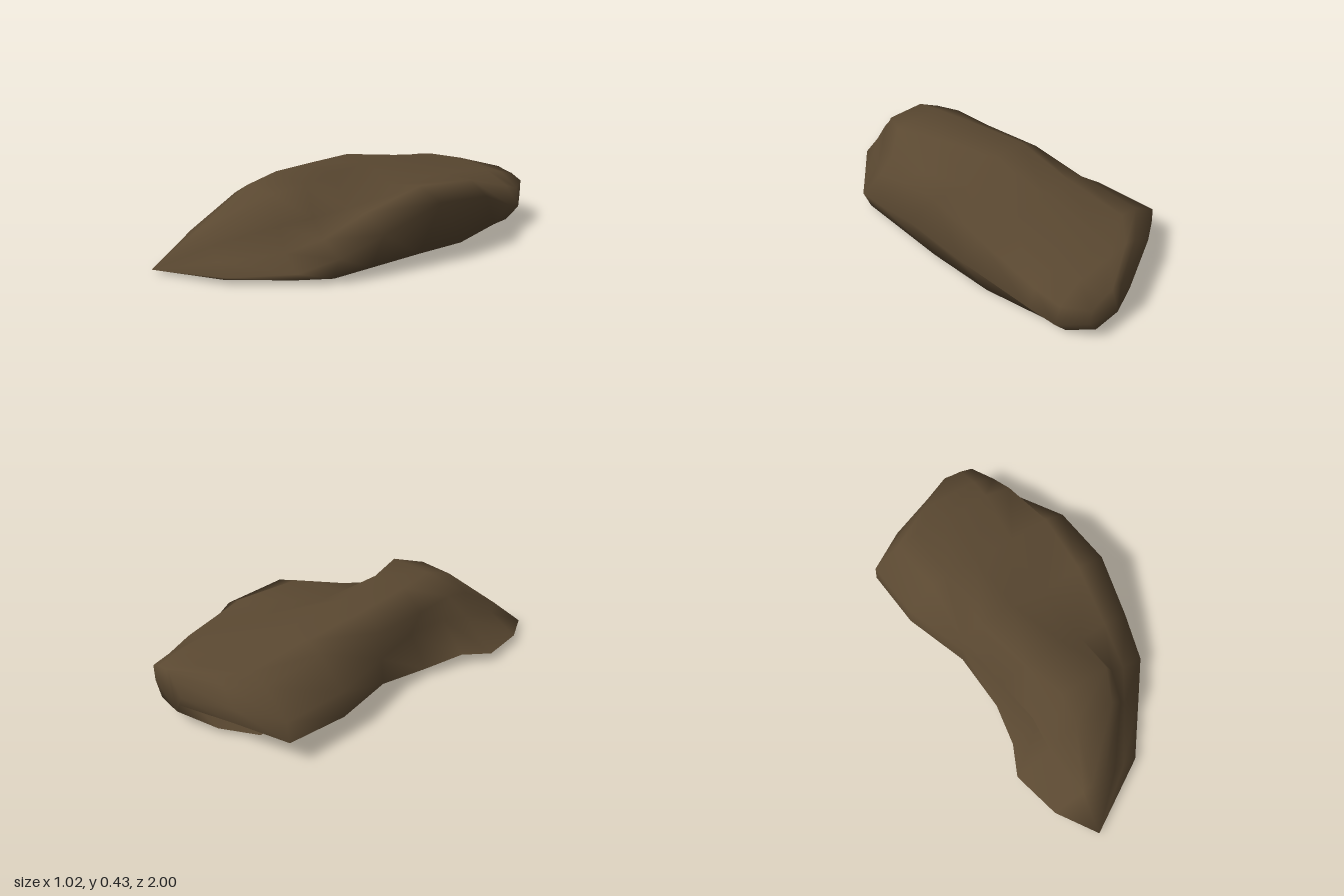
import * as THREE from 'three';

// z, x of the left foot, then [x, y] of: left bulge, left shoulder, valley,
// ridge, cliff top, right skirt edge.
const sections = [
  [-0.995, 0.2, [0.25, 0.15], [0.25, 0.23], [0.18, 0.26], [0.12, 0.27], [0.06, 0.25], [0.05, 0.12]],
  [-0.88, 0.26, [0.34, 0.12], [0.32, 0.22], [0.2, 0.29], [0, 0.3], [-0.18, 0.29], [-0.27, 0.14]],
  [-0.76, 0.28, [0.38, 0.16], [0.35, 0.26], [0.2, 0.32], [-0.05, 0.32], [-0.34, 0.31], [-0.51, 0.12]],
  [-0.45, 0.33, [0.49, 0.29], [0.38, 0.35], [0.17, 0.34], [-0.05, 0.36], [-0.31, 0.34], [-0.48, 0.1]],
  [-0.12, 0.37, [0.51, 0.32], [0.36, 0.37], [0.14, 0.33], [-0.04, 0.41], [-0.33, 0.345], [-0.36, 0.08]],
  [0.18, 0.37, [0.46, 0.21], [0.32, 0.28], [0.18, 0.27], [0.06, 0.415], [-0.29, 0.34], [-0.34, 0.04]],
  [0.4, 0.37, [0.41, 0.13], [0.29, 0.19], [0.21, 0.27], [0.16, 0.42], [-0.26, 0.35], [-0.38, 0.06]],
  [0.55, 0.28, [0.3, 0.06], [0.2, 0.13], [0.16, 0.25], [0.09, 0.385], [-0.24, 0.32], [-0.45, 0.045]],
  [0.8, 0.08, [0.1, 0.04], [0.02, 0.09], [-0.04, 0.15], [-0.1, 0.185], [-0.23, 0.18], [-0.39, 0.04]],
];

// Full outline of one section: underside, left flank, top, right cliff, skirt.
function outline([z, foot, ...rim]) {
  const { lerp } = THREE.MathUtils;
  const skirt = rim.pop(), cliff = rim.pop(), ridge = rim[rim.length - 1];
  const heel = z < -0.9 ? 0.08 : z === -0.45 ? 0 : 0.025;
  // rounded brow between the ridge and the cliff edge
  const brow = [lerp(ridge[0], cliff[0], 0.62), ridge[1] + (z > 0.5 ? 0 : 0.01)];
  // the right side bulges out at the back and is undercut at the front
  const undercut = z < -0.2 ? -0.07 : z > 0.1 ? 0.09 : 0;
  const flank = [(cliff[0] + skirt[0]) / 2 + undercut, (cliff[1] + skirt[1]) / 2];
  // the underside stops short of the overhanging skirt, except at waist and back end
  const inset = z < -0.9 ? 0 : Math.min(0.3, Math.abs(z - 0.15) * 0.8);
  const inner = [lerp(skirt[0], foot, inset), Math.max(heel, 0.02)];
  return [inner, [foot, heel], ...rim, brow, cliff, flank, skirt].map(([x, y]) => [x, y, z]);
}

function loft(rows) {
  const indices = [], n = rows[0].length, tip = rows.length * n;
  for (let i = 0; i < rows.length; i++) {
    for (let j = 0; j < n - 1; j++) {
      const a = i * n + j, b = a + 1, d = a + n, c = d + 1;
      if (i === rows.length - 1) indices.push(a, b, tip);
      else indices.push(a, b, c, a, c, d);
    }
  }
  // blunt back end
  for (let j = 1; j < n - 1; j++) indices.push(0, j + 1, j);
  const positions = [...rows.flat(2), -0.26, 0.015, 1];
  const geometry = new THREE.BufferGeometry();
  geometry.setAttribute('position', new THREE.Float32BufferAttribute(positions, 3));
  geometry.setIndex(indices);
  geometry.computeVertexNormals();
  return geometry;
}

export function createModel() {
  const group = new THREE.Group();
  group.name = 'rock';
  const earthBrown = new THREE.MeshStandardMaterial({ color: 0x5a4831, side: THREE.DoubleSide });
  earthBrown.name = 'earthBrown';

  // curved boulder with a skirt overhanging its right side
  const boulder = new THREE.Mesh(loft(sections.map(outline)), earthBrown);
  boulder.name = 'boulder';
  group.add(boulder);
  return group;
}
